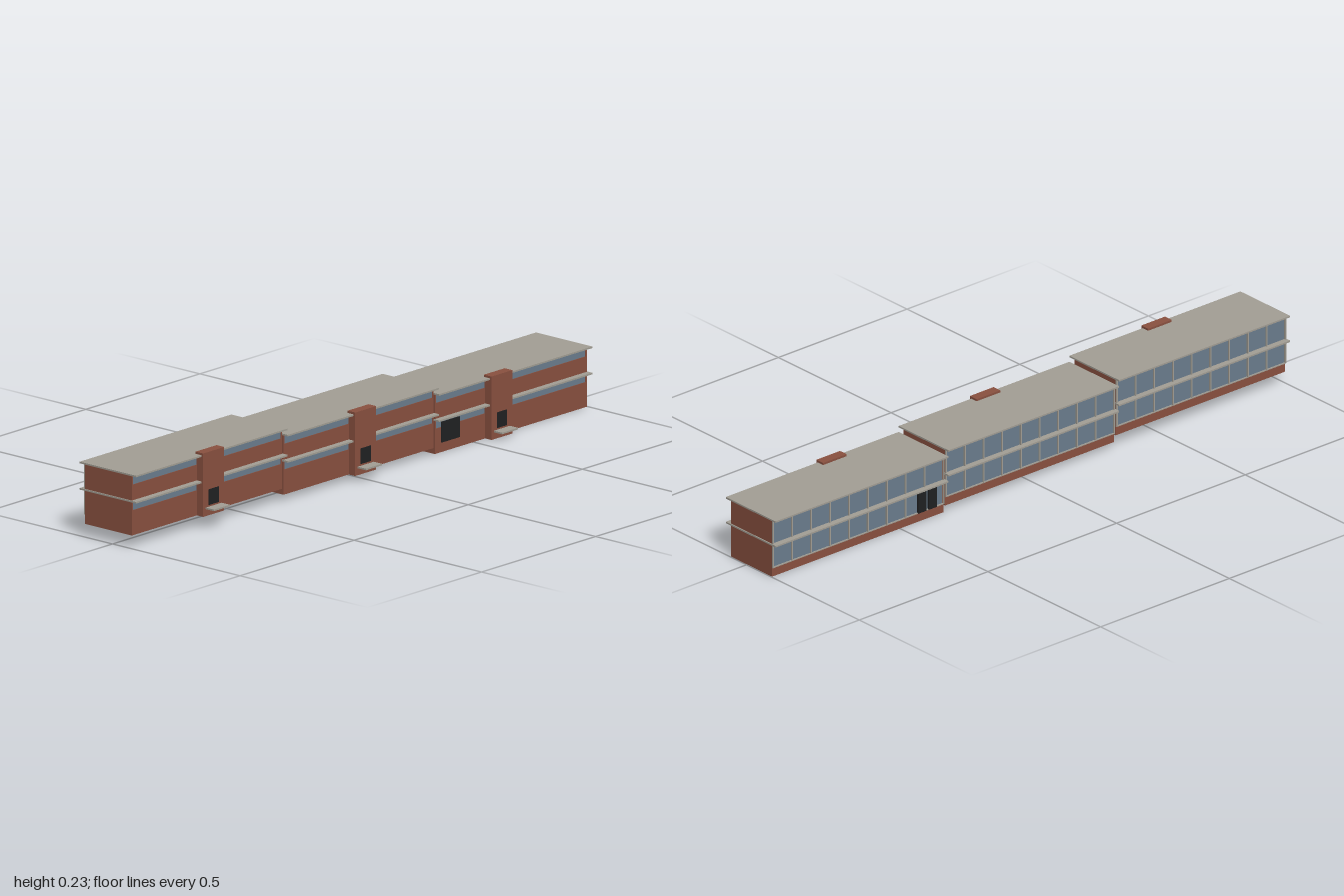
import * as THREE from 'three';

const mat = (name, color) => {
  const m = new THREE.MeshStandardMaterial({ color });
  m.name = name;
  return m;
};

export function createModel() {
  const brick = mat('brick', 0x8a5140);
  const concrete = mat('concrete', 0xa39f95);
  const glass = mat('glass', 0x6b7d8e);
  const dark = mat('darkDoor', 0x202122);

  // box given by its min and max on each axis
  const box = (parent, name, material, x0, x1, y0, y1, z0, z1) => {
    const mesh = new THREE.Mesh(new THREE.BoxGeometry(x1 - x0, y1 - y0, z1 - z0), material);
    mesh.position.set((x0 + x1) / 2, (y0 + y1) / 2, (z0 + z1) / 2);
    mesh.name = name;
    parent.add(mesh);
    return mesh;
  };

  const FRONT = 0.073, BACK = -0.11, T = 0.005; // wall planes and thickness
  const MID = 0.104, ROOF = 0.184;              // slab centre heights
  const PANES = 9;

  // stair tower with its entrance and doorstep
  const addTower = (block, cx) => {
    const tower = new THREE.Group();
    tower.name = 'entranceTower';
    box(tower, 'towerShaft', brick, cx - 0.046, cx + 0.046, 0, 0.193, FRONT - T, 0.098);
    box(tower, 'entranceDoor', dark, cx - 0.022, cx + 0.022, 0.031, 0.079, 0.097, 0.0985);
    box(tower, 'doorstep', concrete, cx - 0.035, cx + 0.035, 0.021, 0.026, 0.097, 0.13);
    block.add(tower);
  };

  // one stepped section of the building; hollow and open underneath
  const addBlock = (x0, x1, base, towerX) => {
    const block = new THREE.Group();
    block.name = 'buildingSection';
    block.position.y = base;
    const a = x0 + 0.003, b = x1 - 0.003;

    // end walls
    box(block, 'endWall', brick, a, a + T, 0, ROOF, BACK, FRONT);
    box(block, 'endWall', brick, b - T, b, 0, ROOF, BACK, FRONT);

    // front wall: brick bands and ribbon windows
    const i = a + T, j = b - T;
    box(block, 'frontLowerWall', brick, i, j, 0, 0.076, FRONT - T, FRONT);
    box(block, 'frontLowerWindow', glass, i, j, 0.076, MID, FRONT - T, FRONT - 0.002);
    box(block, 'frontUpperWall', brick, i, j, MID, 0.154, FRONT - T, FRONT);
    box(block, 'frontUpperWindow', glass, i, j, 0.154, ROOF, FRONT - T, FRONT - 0.002);

    // rear wall: plinth, glazing and mullions
    box(block, 'rearPlinth', brick, i, j, 0, 0.029, BACK, BACK + T);
    box(block, 'rearLowerWindow', glass, i, j, 0.029, MID, BACK, BACK + T);
    box(block, 'rearUpperWindow', glass, i, j, MID, ROOF, BACK, BACK + T);
    for (let k = 0; k <= PANES; k++) {
      const x = a + 0.002 + (b - a - 0.004) * k / PANES;
      box(block, 'mullion', concrete, x - 0.002, x + 0.002, 0.029, ROOF, BACK - 0.005, BACK);
    }
    box(block, 'rearSill', concrete, a, b, 0.028, 0.031, BACK - 0.004, BACK);

    // overhanging floor slab and roof
    box(block, 'floorSlab', concrete, x0, x1, MID - 0.0025, MID + 0.0025, -0.129, 0.092);
    box(block, 'roofSlab', concrete, x0, x1, ROOF - 0.0025, ROOF + 0.0025, -0.129, 0.092);

    addTower(block, towerX);
    return block;
  };

  const model = new THREE.Group();
  model.name = 'steppedBuilding';
  const right = addBlock(-1, -0.335, 0.039, -0.666);
  const middle = addBlock(-0.335, 0.328, 0.0195, 0);
  const left = addBlock(0.328, 1, 0, 0.597);
  model.add(right, middle, left);

  // wide front door and paired rear doors of the lowest section
  box(left, 'wideFrontDoor', dark, 0.358, 0.438, 0.029, 0.092, FRONT - 0.001, FRONT + 0.002);
  for (const x of [0.361, 0.402]) {
    box(left, 'rearDoor', dark, x, x + 0.032, 0.029, 0.092, BACK - 0.006, BACK);
  }
  return model;
}
